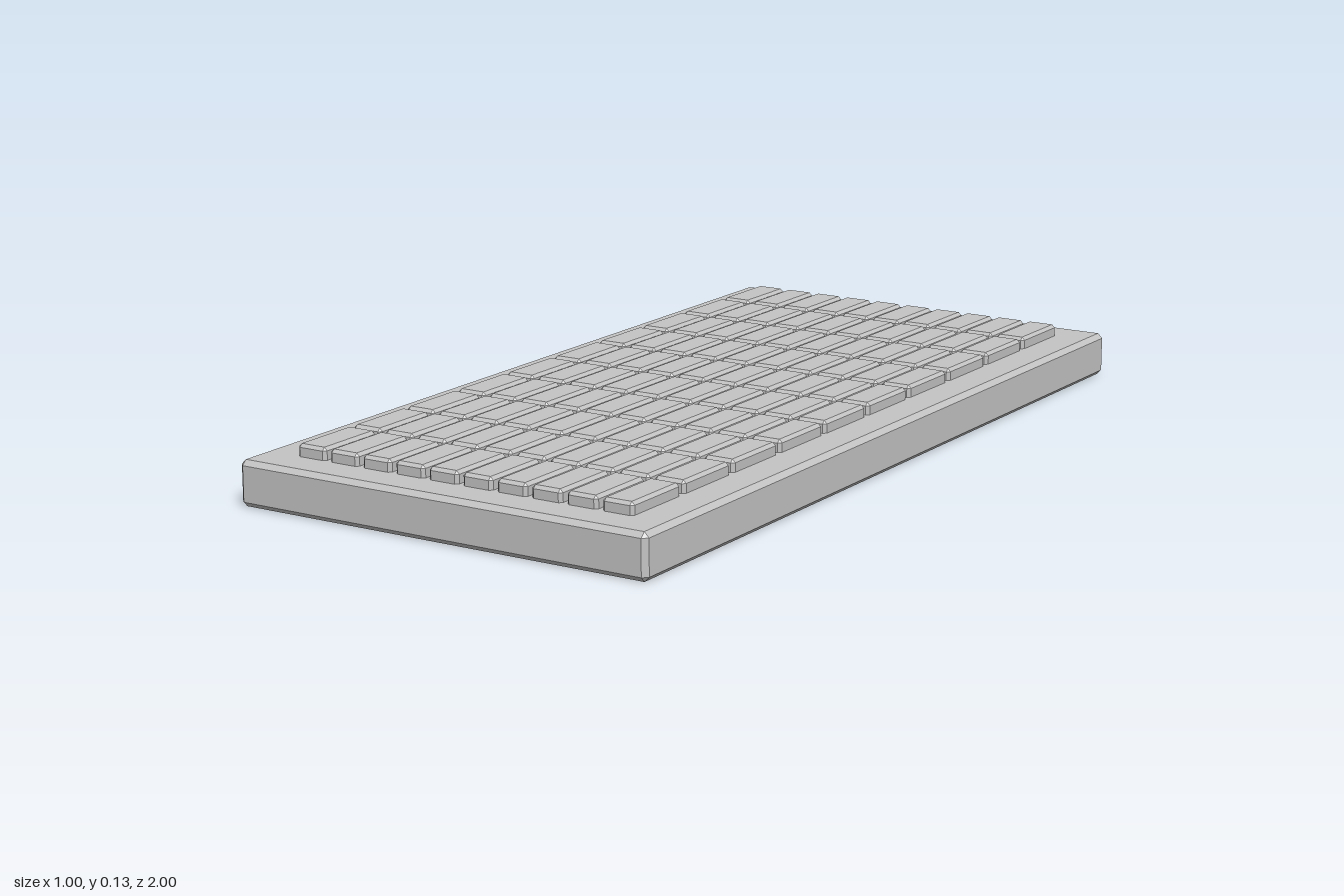
import * as THREE from 'three';
import { ConvexGeometry } from 'three/addons/geometries/ConvexGeometry.js';

// Box with every edge and corner cut flat by c
function chamferedBox(w, h, d, c) {
  const points = [];
  for (const sx of [-1, 1]) for (const sy of [-1, 1]) for (const sz of [-1, 1]) {
    const x = w / 2, y = h / 2, z = d / 2;
    points.push(
      new THREE.Vector3(sx * x, sy * (y - c), sz * (z - c)),
      new THREE.Vector3(sx * (x - c), sy * y, sz * (z - c)),
      new THREE.Vector3(sx * (x - c), sy * (y - c), sz * z),
    );
  }
  return new ConvexGeometry(points);
}

export function createModel() {
  const model = new THREE.Group();
  model.name = 'tiledSlab';
  const grey = new THREE.MeshStandardMaterial({ color: 0xc4c4c4 });
  grey.name = 'light grey';

  // Slab
  const slab = new THREE.Mesh(chamferedBox(1, 0.1, 2, 0.011), grey);
  slab.name = 'slab';
  slab.position.y = 0.05;
  model.add(slab);

  // Ten by ten raised tiles, their lower part sunk into the slab
  const tiles = new THREE.Group();
  tiles.name = 'tiles';
  const tileShape = chamferedBox(0.073, 0.05, 0.172, 0.007);
  for (let row = 0; row < 10; row++) {
    for (let col = 0; col < 10; col++) {
      const tile = new THREE.Mesh(tileShape, grey);
      tile.name = 'tile';
      tile.position.set((col - 4.5) * 0.0839 - 0.001, 0.102, (row - 4.5) * 0.1841 - 0.001);
      tiles.add(tile);
    }
  }
  model.add(tiles);
  return model;
}
